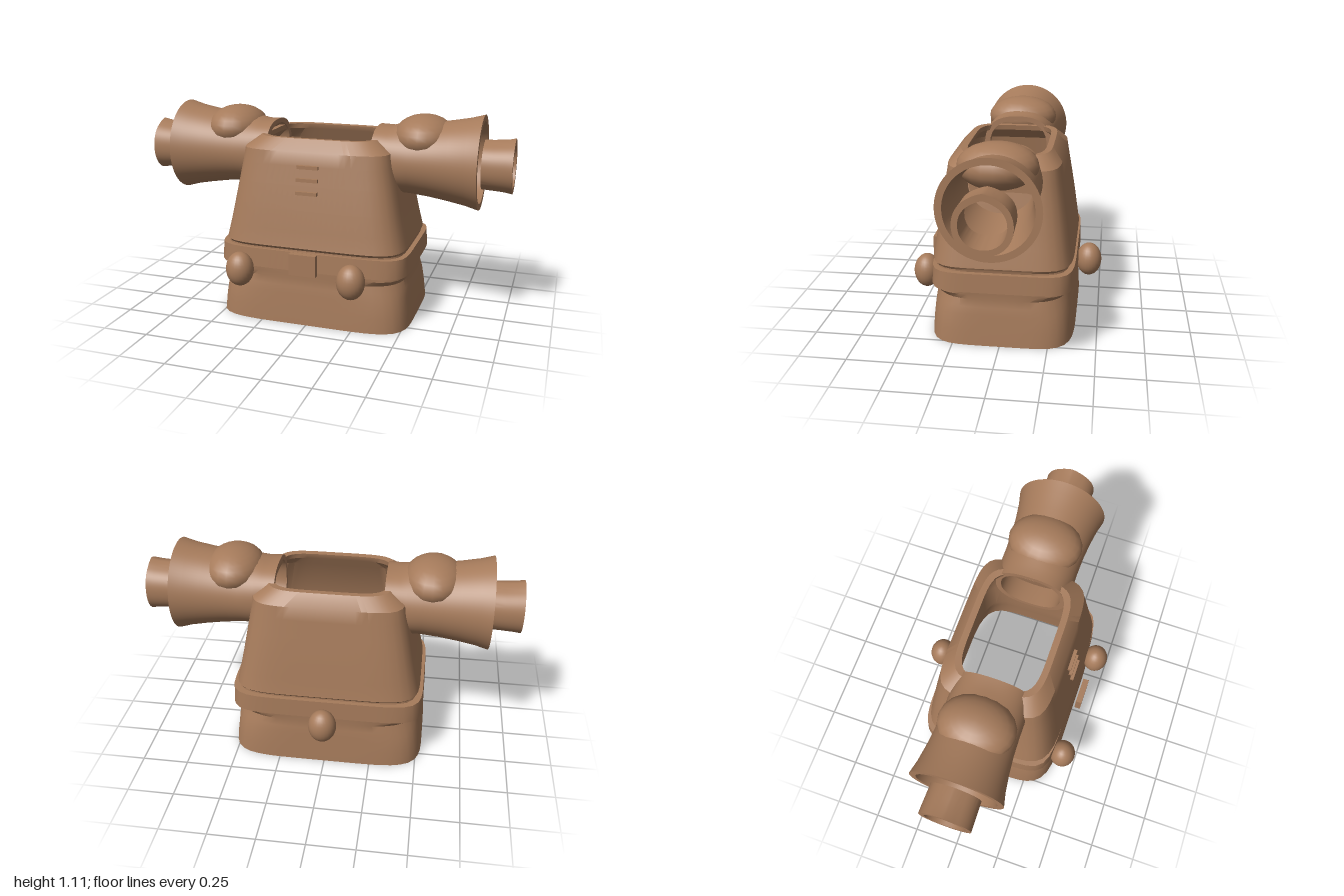
import * as THREE from 'three';
import { toCreasedNormals } from 'three/addons/utils/BufferGeometryUtils.js';

const SEGMENTS = 80;

// Skin closed cross-sections along y. Each section: [y, halfX, halfZ, squareness].
// peak(angle) optionally scales the radius around the section.
function loft(sections, closed = true, peak = () => 1) {
  const positions = [], index = [];
  for (const [y, a, b, n] of sections) {
    for (let j = 0; j < SEGMENTS; j++) {
      const t = (j / SEGMENTS) * Math.PI * 2;
      const c = Math.cos(t), s = Math.sin(t);
      const r = peak(t) * Math.pow(Math.abs(c / a) ** n + Math.abs(s / b) ** n, -1 / n);
      positions.push(r * c, y, r * s);
    }
  }
  const count = closed ? sections.length : sections.length - 1;
  for (let i = 0; i < count; i++) {
    const k = (i + 1) % sections.length;
    for (let j = 0; j < SEGMENTS; j++) {
      const m = (j + 1) % SEGMENTS;
      const p = i * SEGMENTS + j, q = i * SEGMENTS + m;
      const u = k * SEGMENTS + j, v = k * SEGMENTS + m;
      index.push(p, u, q, q, u, v);
    }
  }
  const g = new THREE.BufferGeometry();
  g.setAttribute('position', new THREE.Float32BufferAttribute(positions, 3));
  g.setIndex(index);
  return toCreasedNormals(g, 0.6);
}

export function createModel() {
  const model = new THREE.Group();
  model.name = 'tunic';
  const brown = new THREE.MeshStandardMaterial({ color: 0xa67b5b });
  brown.name = 'brown';
  brown.side = THREE.DoubleSide;

  const add = (parent, name, geometry, x = 0, y = 0, z = 0) => {
    const mesh = new THREE.Mesh(geometry, brown);
    mesh.name = name;
    mesh.position.set(x, y, z);
    parent.add(mesh);
    return mesh;
  };

  // Torso shell: outer wall up, over the neck rim, inner wall down
  add(model, 'torso', loft([
    [0, 0.53, 0.385, 5.5],
    [0.08, 0.522, 0.38, 5.5],
    [0.17, 0.512, 0.373, 5],
    [0.21, 0.507, 0.37, 4.4],
    [0.25, 0.498, 0.364, 4.2],
    [0.28, 0.505, 0.37, 5.5],
    [0.41, 0.492, 0.358, 6],
    [0.425, 0.5, 0.372, 6],
    [0.435, 0.498, 0.37, 6],
    [0.52, 0.478, 0.358, 6],
    [0.62, 0.457, 0.344, 6],
    [0.75, 0.432, 0.323, 6],
    [0.85, 0.413, 0.306, 6],
    [0.92, 0.402, 0.295, 6],
    [0.98, 0.325, 0.24, 5],
    [0.978, 0.3, 0.207, 5],
    [0.95, 0.305, 0.212, 5],
    [0.89, 0.37, 0.265, 5.5],
    [0.62, 0.425, 0.314, 6],
    [0.43, 0.465, 0.335, 6],
    [0.25, 0.468, 0.335, 4.2],
    [0.15, 0.485, 0.348, 5],
    [0, 0.502, 0.36, 5.5],
  ]), 0, 0, 0.005);

  // Belt band and buckle
  add(model, 'belt', loft([
    [0.3, 0.523, 0.38, 7],
    [0.402, 0.518, 0.376, 7],
    [0.402, 0.485, 0.35, 7],
    [0.3, 0.485, 0.35, 7],
  ]));
  add(model, 'buckle', new THREE.BoxGeometry(0.145, 0.115, 0.033), 0, 0.355, 0.422);

  // Egg-shaped pouches, two in front and one behind
  const pouch = new THREE.SphereGeometry(1, 24, 16);
  pouch.scale(0.075, 0.093, 0.07);
  for (const [name, x, z] of [
    ['rightPouch', -0.355, 0.425], ['leftPouch', 0.26, 0.432], ['backPouch', 0, -0.438],
  ]) add(model, name, pouch, x, 0.295, z);

  // Chest bars
  [[0.85, 0.33], [0.785, 0.341], [0.718, 0.353]].forEach(([y, z], i) =>
    add(model, 'chestBar' + (i + 1), new THREE.BoxGeometry(0.115, 0.018, 0.018), -0.003, y, z));

  // Sleeve: flared tube lying along x, with a collar inside the torso
  const sleeve = loft([
    [0.287, 0.17, 0.195, 2.5],
    [0.36, 0.168, 0.198, 2.4],
    [0.4, 0.18, 0.205, 2.1],
    [0.48, 0.185, 0.205, 2],
    [0.58, 0.196, 0.208, 2],
    [0.68, 0.212, 0.217, 2],
    [0.77, 0.229, 0.23, 2],
    [0.838, 0.248, 0.246, 2],
    [0.838, 0.214, 0.212, 2],
    [0.68, 0.185, 0.187, 2],
    [0.45, 0.155, 0.172, 2],
    [0.287, 0.145, 0.165, 2.4],
  ]).rotateZ(-Math.PI / 2);

  // Cuff: short tube whose section is drawn to a point at the top
  const tip = (amount) => (t) => 1 + amount * Math.max(0, 1 - Math.abs(t - Math.PI) / 0.5) ** 1.3;
  const cuff = loft([
    [0.845, 0.123, 0.132, 2.2],
    [0.9, 0.126, 0.133, 2.2],
    [0.96, 0.13, 0.135, 2.2],
    [1.0, 0.138, 0.136, 2.1],
    [1.0, 0.108, 0.108, 2.1],
    [0.845, 0.1, 0.106, 2.2],
  ], true, tip(0.08)).rotateZ(-Math.PI / 2);

  // Shoulder cap
  const cap = new THREE.SphereGeometry(1, 20, 14);
  cap.scale(0.16, 0.115, 0.2);

  // Inner wall closing the sleeve at the shoulder
  const wall = new THREE.CircleGeometry(0.165, 40);
  wall.rotateY(Math.PI / 2);

  for (const side of ['left', 'right']) {
    const arm = new THREE.Group();
    arm.name = side + 'Arm';
    if (side === 'right') arm.rotation.y = Math.PI;
    add(arm, side + 'Sleeve', sleeve, 0, 0.863, 0);
    add(arm, side + 'Cuff', cuff, 0, 0.852, 0);
    add(arm, side + 'ShoulderCap', cap, 0.53, 0.985, 0);
    add(arm, side + 'ShoulderWall', wall, 0.42, 0.863, 0);
    model.add(arm);
  }

  return model;
}
